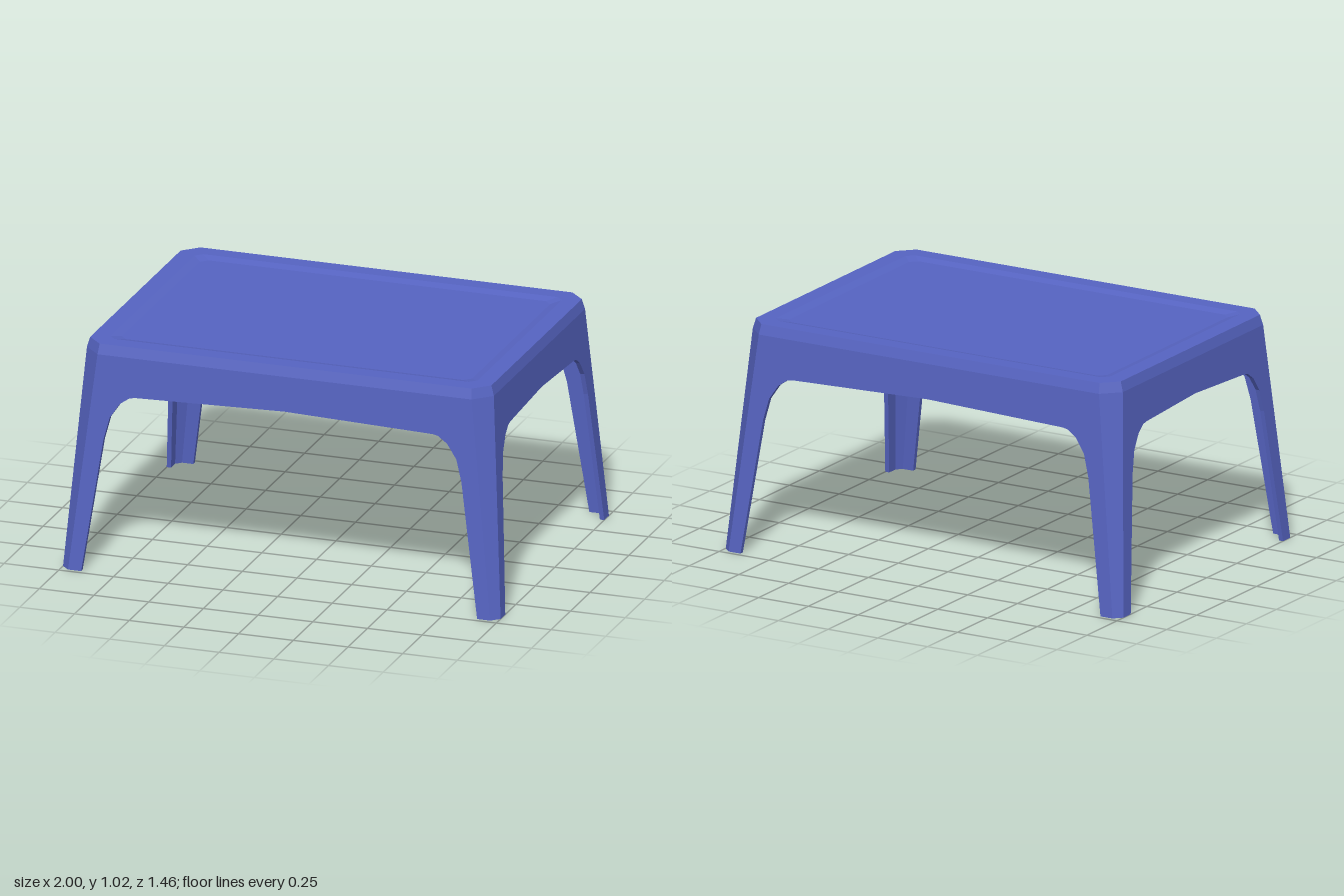
import * as THREE from 'three';

const OFFSET = 0.27;      // half width minus half depth
const WALL = 0.02;        // shell thickness
const WALL_TOP = 0.975;
const TOP = 1.02;

// Half width of the tapering walls, and of their flat part before the corner chamfer
const edge = (y) => 1 - 0.0718 * y;
const chamfer = (y) => 0.965 - 0.1127 * y;

// Apron and legs of one side, cut by an arch and leaning inward
function sidePanel(shift) {
  const right = [
    [0.68, 0.8], [0.705, 0.795], [0.748, 0.765], [0.792, 0.7], [0.818, 0.6], [0.905, 0],
    [chamfer(0), 0], [chamfer(WALL_TOP), WALL_TOP],
  ];
  const pts = right.map(([x, y]) => new THREE.Vector2(x - shift, y));
  const left = pts.map((p) => new THREE.Vector2(-p.x, p.y)).reverse();
  const shape = new THREE.Shape([new THREE.Vector2(0, 0.82), ...pts, ...left]);
  const geo = new THREE.ExtrudeGeometry(shape, { depth: WALL, bevelEnabled: false });
  const pos = geo.attributes.position;
  const depthShift = OFFSET - shift; // long panels sit at the depth, short ones at the width
  for (let i = 0; i < pos.count; i++) {
    pos.setZ(i, pos.getZ(i) - WALL + edge(pos.getY(i)) - depthShift);
  }
  geo.computeVertexNormals();
  return geo;
}

// Tapered chamfer strip joining two sides at a corner
function cornerStrip(sx, sz) {
  const geo = new THREE.BoxGeometry(1, 1, 1).toNonIndexed();
  const pos = geo.attributes.position;
  for (let i = 0; i < pos.count; i++) {
    const y = (pos.getY(i) + 0.5) * WALL_TOP;
    const k = pos.getX(i) * sx * sz + 0.5;
    const inset = (0.5 - pos.getZ(i)) * WALL * Math.SQRT1_2;
    const e = edge(y), c = chamfer(y);
    const x = c + (e - c) * k - inset;
    const z = e - OFFSET + (c - e) * k - inset;
    pos.setXYZ(i, x * sx, y, z * sz);
  }
  geo.computeVertexNormals();
  return geo;
}

// Chamfered rectangle at height y; a zero size is a centre point
function ring(y, e, c) {
  if (e === 0) return Array.from({ length: 8 }, () => [0, y, 0]);
  const ez = e - OFFSET, cz = c - OFFSET;
  return [[-c, ez], [c, ez], [e, cz], [e, -cz], [c, -ez], [-c, -ez], [-e, -cz], [-e, cz]]
    .map(([x, z]) => [x, y, z]);
}

// Skin over rings listed from the underside to the top
function loft(rings) {
  const verts = [];
  for (let i = 0; i < rings.length - 1; i++) {
    for (let j = 0; j < 8; j++) {
      const n = (j + 1) % 8;
      const a = rings[i][j], b = rings[i][n], c = rings[i + 1][n], d = rings[i + 1][j];
      if (i > 0) verts.push(...a, ...b, ...c);
      if (i < rings.length - 2) verts.push(...a, ...c, ...d);
    }
  }
  const geo = new THREE.BufferGeometry();
  geo.setAttribute('position', new THREE.Float32BufferAttribute(verts, 3));
  geo.computeVertexNormals();
  return geo;
}

export function createModel() {
  const group = new THREE.Group();
  group.name = 'table';
  const plastic = new THREE.MeshStandardMaterial({ color: 0x5664c2 });
  plastic.name = 'bluePlastic';

  const add = (name, geo, turn = 0) => {
    const mesh = new THREE.Mesh(geo, plastic);
    mesh.name = name;
    mesh.rotation.y = turn;
    group.add(mesh);
  };

  // Table top with bevelled rim and shallow recess
  add('tableTop', loft([
    ring(0.955, 0, 0),
    ring(0.955, 0.92, 0.85),
    ring(WALL_TOP, edge(WALL_TOP), chamfer(WALL_TOP)),
    ring(TOP, 0.917, 0.85),
    ring(TOP, 0.84, 0.81),
    ring(TOP - 0.01, 0.8, 0.77),
    ring(TOP - 0.01, 0, 0),
  ]));

  // Four sides
  const longSide = sidePanel(0);
  const shortSide = sidePanel(OFFSET);
  add('frontSide', longSide);
  add('backSide', longSide, Math.PI);
  add('leftSide', shortSide, Math.PI / 2);
  add('rightSide', shortSide, -Math.PI / 2);

  // Four leg corners
  for (const sx of [1, -1]) {
    for (const sz of [1, -1]) {
      add(`${sz > 0 ? 'front' : 'back'}${sx > 0 ? 'Left' : 'Right'}LegCorner`, cornerStrip(sx, sz));
    }
  }
  return group;
}
